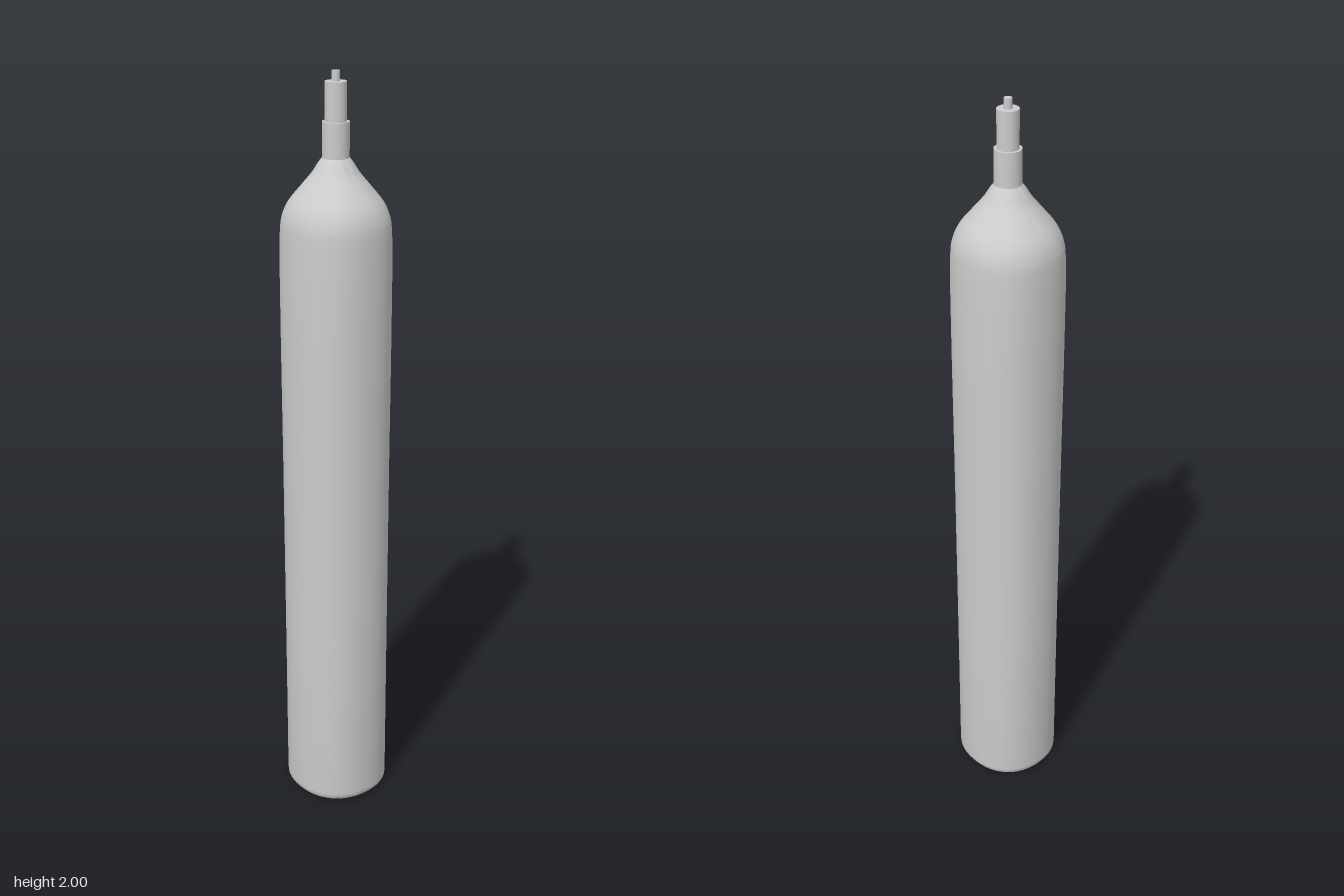
import * as THREE from 'three';
import { mergeVertices, toCreasedNormals } from 'three/addons/utils/BufferGeometryUtils.js';

const CENTRE_X = -0.003;

export function createModel() {
  const group = new THREE.Group();
  group.name = 'gasCylinder';
  const material = new THREE.MeshStandardMaterial({ color: 0xcccccc });

  const add = (name, geometry) => {
    const mesh = new THREE.Mesh(geometry, material);
    mesh.name = name;
    group.add(mesh);
  };

  // Tank: revolved profile, pressed into a slightly squarish oval that turns round at the neck
  const shoulder = new THREE.SplineCurve([
    [0.138, 1.52], [0.136, 1.61], [0.131, 1.65], [0.116, 1.685],
    [0.087, 1.722], [0.06, 1.755], [0.044, 1.78], [0.034, 1.793],
  ].map(([r, y]) => new THREE.Vector2(r, y))).getPoints(28);
  const profile = [
    [0, 0], [0.127, 0], [0.132, 0.003], [0.1355, 0.009], [0.1365, 0.02],
    [0.1365, 0.5], [0.137, 1], [0.138, 1.3],
  ].map(([r, y]) => new THREE.Vector2(r, y)).concat(shoulder, new THREE.Vector2(0, 1.793));

  const tank = new THREE.LatheGeometry(profile, 64);
  const pos = tank.attributes.position;
  for (let i = 0; i < pos.count; i++) {
    const x = pos.getX(i), y = pos.getY(i), z = pos.getZ(i);
    const r = Math.hypot(x, z);
    if (r < 1e-6) { pos.setX(i, CENTRE_X * y / 1.8); continue; }
    const body = 1 - THREE.MathUtils.smoothstep(y, 1.6, 1.79);
    const n = 2 + 0.22 * body;
    const c = Math.abs(x / r), s = Math.abs(z / r);
    const k = Math.pow(Math.pow(c, n) + Math.pow(s, n), -1 / n);
    pos.setXYZ(i, x * k * (1 + 0.01 * body) + CENTRE_X * y / 1.8, y, z * k * (1 - 0.02 * body));
  }
  tank.deleteAttribute('uv');
  tank.deleteAttribute('normal');
  add('tank', toCreasedNormals(mergeVertices(tank, 1e-5), 0.7));

  // Stepped valve: collar, stem and tip
  for (const [name, r, y0, y1] of [
    ['valveCollar', 0.034, 1.788, 1.88],
    ['valveStem', 0.027, 1.88, 1.975],
    ['valveTip', 0.01, 1.975, 2],
  ]) {
    const geometry = new THREE.CylinderGeometry(r, r, y1 - y0, 32);
    geometry.translate(CENTRE_X, (y0 + y1) / 2, 0);
    add(name, geometry);
  }

  return group;
}
